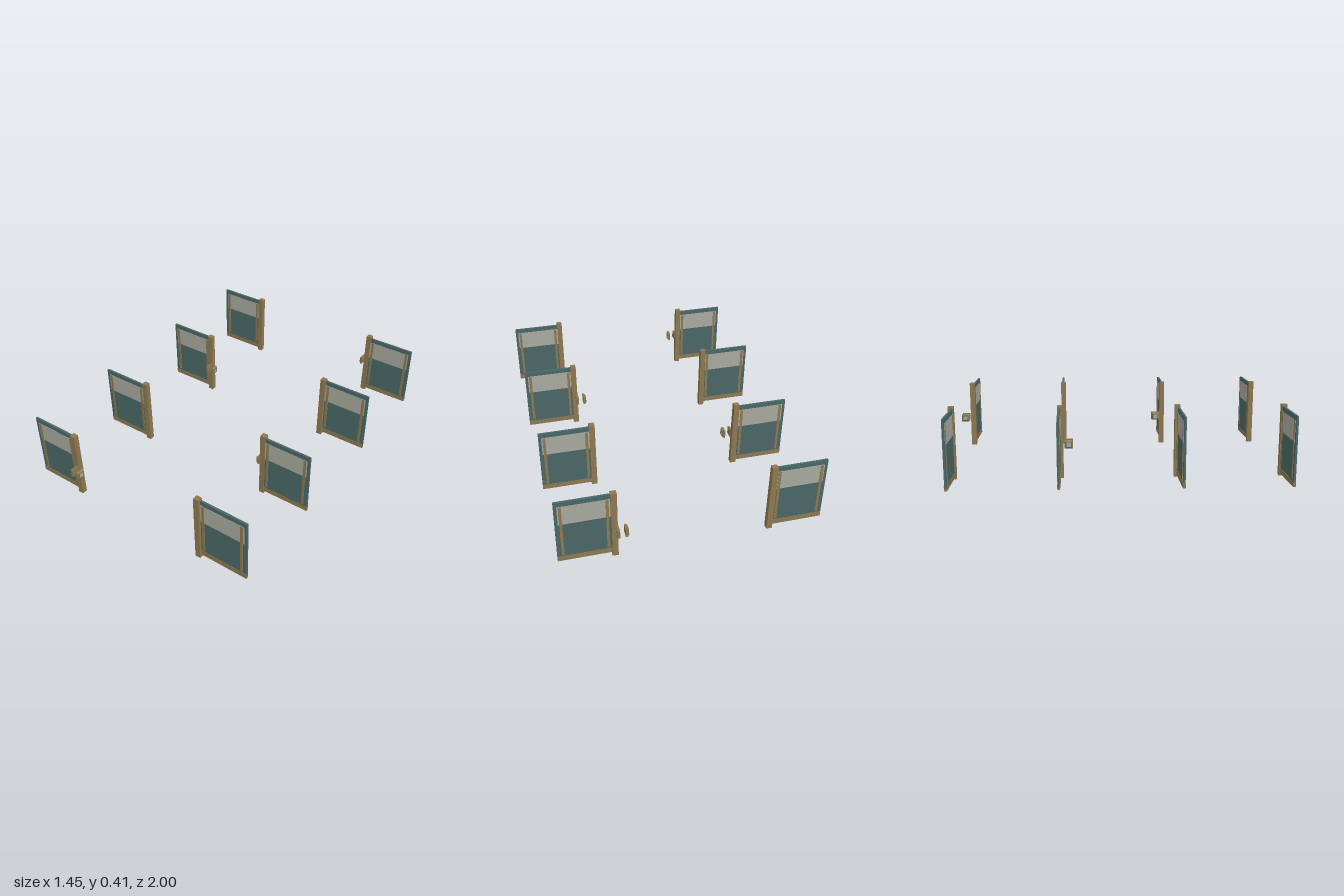
import * as THREE from 'three';

const wood = new THREE.MeshStandardMaterial({ color: 0x8d7850 });
const teal = new THREE.MeshStandardMaterial({ color: 0x4a6866 });
const pane = new THREE.MeshStandardMaterial({ color: 0xa8aaa0 });
wood.name = 'wood';
teal.name = 'teal';
pane.name = 'pane';

// box given by its minimum and maximum corners
function box(parent, name, material, [x0, y0, z0], [x1, y1, z1]) {
  const mesh = new THREE.Mesh(new THREE.BoxGeometry(x1 - x0, y1 - y0, z1 - z0), material);
  mesh.position.set((x0 + x1) / 2, (y0 + y1) / 2, (z0 + z1) / 2);
  mesh.name = name;
  parent.add(mesh);
  return mesh;
}

// door leaf on the +x side (s = 1) or the -x side (s = -1); post stands proud towards +z
function door(s) {
  const g = new THREE.Group();
  g.name = s > 0 ? 'leftDoor' : 'rightDoor';
  const part = (name, mat, x0, x1, y0, y1, z0, z1) =>
    box(g, name, mat, [Math.min(s * x0, s * x1), y0, z0], [Math.max(s * x0, s * x1), y1, z1]);
  part('post', wood, 0.41, 0.442, 0, 0.414, 0.916, 0.947);
  part('panel', teal, 0.435, 0.727, 0.03, 0.403, 0.92, 0.932);
  part('bottomRail', wood, 0.435, 0.727, 0.016, 0.046, 0.919, 0.934);
  part('windowPane', pane, 0.442, 0.711, 0.26, 0.376, 0.919, 0.933);
  for (const x of [0.451, 0.689]) {
    part('guardBar', wood, x, x + 0.015, 0.055, 0.373, 0.9175, 0.936);
  }
  return g;
}

// small handle plate: flat on one side, bevelled towards dir along x
function handlePlate(x, dir) {
  const g = new THREE.Group();
  g.name = 'handlePlate';
  box(g, 'plateBase', wood, [-0.009, -0.024, -0.024], [0.001, 0.024, 0.024]);
  let bevel = new THREE.CylinderGeometry(0.017 * Math.SQRT2, 0.024 * Math.SQRT2, 0.008, 4);
  bevel.rotateY(Math.PI / 4);
  bevel.rotateZ(-Math.PI / 2);
  bevel = bevel.toNonIndexed();
  bevel.computeVertexNormals();
  const bevelMesh = new THREE.Mesh(bevel, wood);
  bevelMesh.name = 'plateBevel';
  bevelMesh.position.x = 0.005;
  g.add(bevelMesh);
  box(g, 'plateRim', teal, [0.0085, -0.0165, -0.0165], [0.0095, 0.0165, 0.0165]);
  box(g, 'plateFace', pane, [0.009, -0.0125, -0.0125], [0.01, 0.0125, 0.0125]);
  g.position.set(x, 0.19, 0.976);
  if (dir < 0) g.rotation.y = Math.PI;
  return g;
}

// a pair of leaves with one handle
function doorRow() {
  const g = new THREE.Group();
  g.name = 'doorRow';
  g.add(door(1), door(-1), handlePlate(-0.418, -1), handlePlate(-0.371, 1));
  return g;
}

export function createModel() {
  const model = new THREE.Group();
  model.name = 'doorSet';
  // two sets of rows, each a row and its half-turned partner
  for (const shift of [0, -1.26]) {
    const front = doorRow();
    front.position.z = shift;
    const back = doorRow();
    back.rotation.y = Math.PI;
    back.position.z = 1.26 + shift;
    model.add(front, back);
  }
  return model;
}
